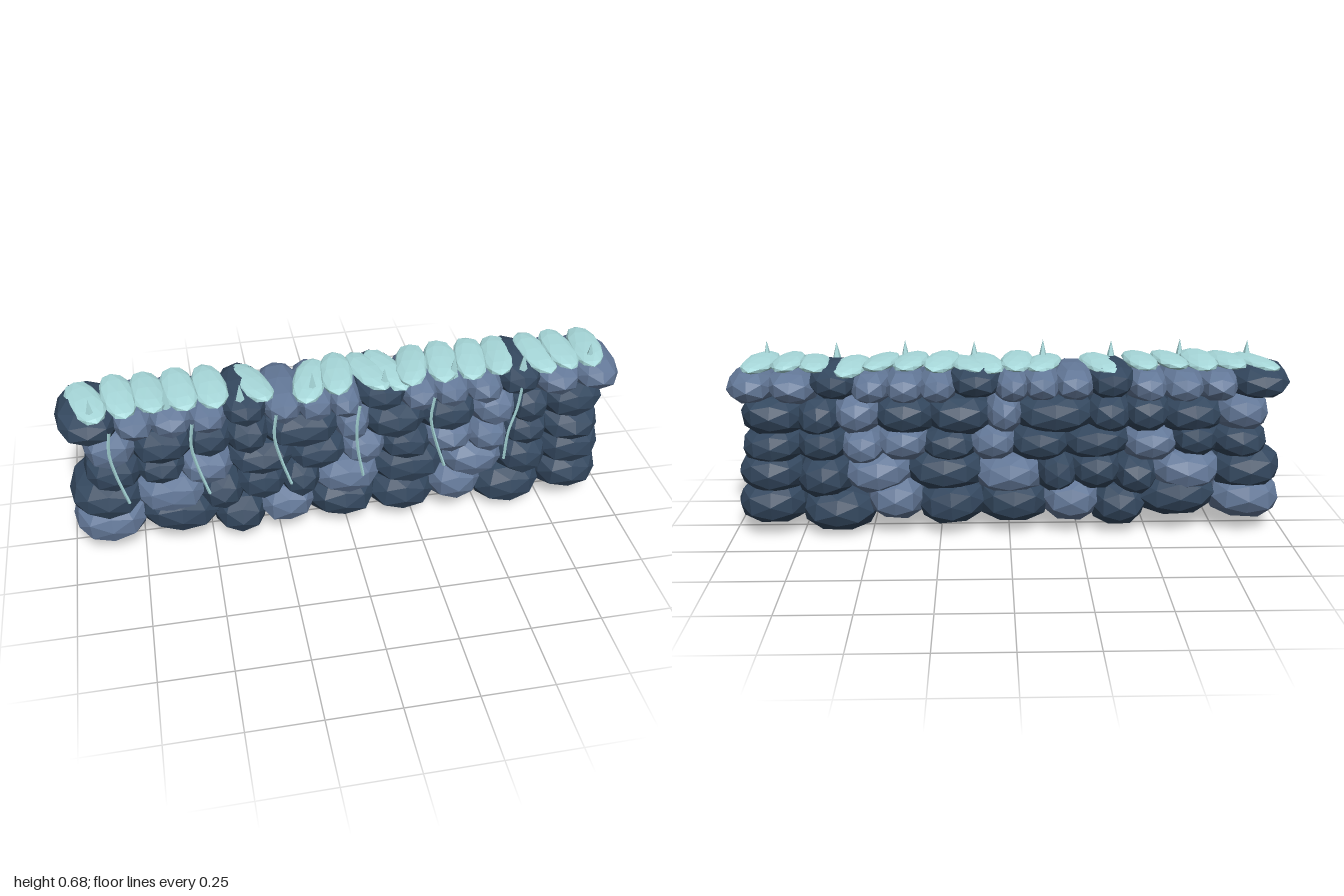
import * as THREE from 'three';

const mat = (name, color) => {
  const m = new THREE.MeshStandardMaterial({ color, flatShading: true });
  m.name = name;
  return m;
};

// Faceted boulder of unit radius: vertices jittered by a hash of their direction
function boulder(seed, boxy, jitter) {
  const geo = new THREE.IcosahedronGeometry(1, 1);
  const p = geo.attributes.position;
  const soft = (v) => Math.sign(v) * Math.pow(Math.abs(v), boxy);
  for (let i = 0; i < p.count; i++) {
    const x = Math.round(p.getX(i) * 1000) / 1000;
    const y = Math.round(p.getY(i) * 1000) / 1000;
    const z = Math.round(p.getZ(i) * 1000) / 1000;
    const h = Math.sin(x * 127.1 + y * 311.7 + z * 74.7 + seed * 19.19) * 43758.5453;
    const k = 1 + jitter * (0.5 - (h - Math.floor(h)));
    p.setXYZ(i, soft(x) * k, soft(y) * k, soft(z) * k);
  }
  geo.computeVertexNormals();
  return geo;
}

export function createModel() {
  const model = new THREE.Group();
  model.name = 'stoneWall';
  const dark = mat('darkStone', 0x34485f);
  const light = mat('lightStone', 0x637898);
  const ice = mat('ice', 0xa9dadc);
  let seed = 1;

  const add = (parent, name, geo, material, pos, scale = [1, 1, 1], rot = [0, 0, 0]) => {
    const mesh = new THREE.Mesh(geo, material);
    mesh.name = name;
    mesh.position.set(...pos);
    mesh.scale.set(...scale);
    mesh.rotation.set(...rot);
    parent.add(mesh);
  };

  // Courses of stones: borders along x, centre heights, half height, D = dark, L = light
  const courses = [
    { name: 'bottomCourse', tone: 'LDDLDDLDD', half: 0.088, depth: 0.15, tilt: 0.06, z: -0.008,
      x: [-0.975, -0.74, -0.48, -0.31, -0.13, 0.1, 0.32, 0.5, 0.74, 0.965],
      y: [0.13, 0.14, 0.105, 0.125, 0.118, 0.115, 0.135, 0.09, 0.12] },
    { name: 'secondCourse', tone: 'DLDDDLDLDD', half: 0.083, depth: 0.147, tilt: 0.06, z: -0.008,
      x: [-0.97, -0.75, -0.52, -0.39, -0.23, -0.11, 0.11, 0.36, 0.58, 0.75, 0.955],
      y: [0.235, 0.23, 0.215, 0.24, 0.23, 0.22, 0.24, 0.23, 0.215, 0.235] },
    { name: 'thirdCourse', tone: 'DDLDDLDLLDD', half: 0.073, depth: 0.148, tilt: 0.06, z: -0.008,
      x: [-0.91, -0.74, -0.59, -0.42, -0.2, -0.01, 0.13, 0.3, 0.46, 0.59, 0.745, 0.94],
      y: [0.345, 0.355, 0.335, 0.345, 0.34, 0.345, 0.335, 0.345, 0.33, 0.34, 0.335] },
    { name: 'fourthCourse', tone: 'LDDDDLDDLDD', half: 0.078, depth: 0.147, tilt: 0.06, z: -0.008,
      x: [-0.91, -0.75, -0.56, -0.42, -0.29, -0.03, 0.07, 0.28, 0.47, 0.61, 0.74, 0.94],
      y: [0.45, 0.44, 0.45, 0.445, 0.445, 0.45, 0.44, 0.445, 0.45, 0.44, 0.445] },
    { name: 'capCourse', tone: 'DLLLDLLLDLLLDLL', half: 0.064, depth: 0.162, tilt: 0, z: 0,
      x: [-0.98, -0.8, -0.68, -0.55, -0.43, -0.29, -0.17, -0.06, 0.04, 0.2, 0.31, 0.43, 0.55, 0.69, 0.84, 0.98],
      y: [0.56, 0.55, 0.55, 0.55, 0.567, 0.558, 0.556, 0.55, 0.567, 0.55, 0.55, 0.55, 0.566, 0.55, 0.553] },
  ];
  for (const c of courses) {
    const group = new THREE.Group();
    group.name = c.name;
    model.add(group);
    c.y.forEach((y, i) => {
      const w = (c.x[i + 1] - c.x[i]) / 2 + 0.021;
      add(group, 'stone', boulder(seed++, 0.86, 0.07), c.tone[i] === 'D' ? dark : light,
        [(c.x[i] + c.x[i + 1]) / 2, y, c.z], [w, c.half, c.depth],
        [c.tilt, 0, 0.07 * Math.sin(i * 1.7 + y * 20)]);
    });
  }

  // Thin ice slabs lying across the cap: x, y, z, yaw
  const slabs = [
    [-0.89, 0.612, 0.02, 0.3], [-0.78, 0.622, 0.014, 0.16], [-0.68, 0.624, 0.012, 0.1],
    [-0.575, 0.624, 0.012, 0.14], [-0.47, 0.622, 0.012, 0.1], [-0.325, 0.613, 0.005, 0.3],
    [-0.125, 0.611, 0.03, -0.25], [-0.03, 0.622, 0.014, -0.1], [0.085, 0.615, 0.012, 0.25],
    [0.15, 0.612, 0.012, 0.3], [0.24, 0.622, 0.012, -0.2], [0.35, 0.624, 0.01, -0.15],
    [0.455, 0.622, 0.012, -0.18], [0.56, 0.611, -0.01, -0.15], [0.695, 0.618, 0.012, 0.12],
    [0.785, 0.624, 0.012, 0], [0.885, 0.622, 0.012, -0.12],
  ];
  const slabGroup = new THREE.Group();
  slabGroup.name = 'iceSlabs';
  model.add(slabGroup);
  slabs.forEach(([x, y, z, yaw], i) =>
    add(slabGroup, 'iceSlab', boulder(seed++, 0.92, 0.06), ice, [x, y, z],
      [0.059, 0.02, 0.138], [0.03 * Math.sin(i * 2.3), yaw, 0.08 * Math.cos(i * 1.9)]));

  // Ice spikes spaced evenly along the front of the cap
  const spikes = new THREE.Group();
  spikes.name = 'iceSpikes';
  model.add(spikes);
  for (let i = 0; i < 8; i++) {
    const h = 0.07 + 0.008 * (i % 2);
    add(spikes, 'iceSpike', new THREE.ConeGeometry(0.018, h, 5), ice,
      [-0.875 + i * 0.25, 0.606 + h / 2, 0.088 + 0.012 * ((i + 1) % 2)]);
  }

  // Thin frozen strands hanging down the front: top x, bottom x
  const strands = [[-0.83, -0.785], [-0.555, -0.505], [-0.27, -0.215], [0.02, 0.045], [0.285, 0.345], [0.6, 0.57]];
  const strandGroup = new THREE.Group();
  strandGroup.name = 'hangingStrands';
  model.add(strandGroup);
  strands.forEach(([x0, x1]) => {
    const path = new THREE.CatmullRomCurve3([
      new THREE.Vector3(x0 + 0.01, 0.57, 0.151),
      new THREE.Vector3(x0, 0.48, 0.15),
      new THREE.Vector3((x0 + x1) / 2 - 0.008, 0.38, 0.148),
      new THREE.Vector3(x1, 0.26, 0.147),
    ]);
    add(strandGroup, 'strand', new THREE.TubeGeometry(path, 10, 0.0055, 4), ice, [0, 0, 0]);
  });

  return model;
}
